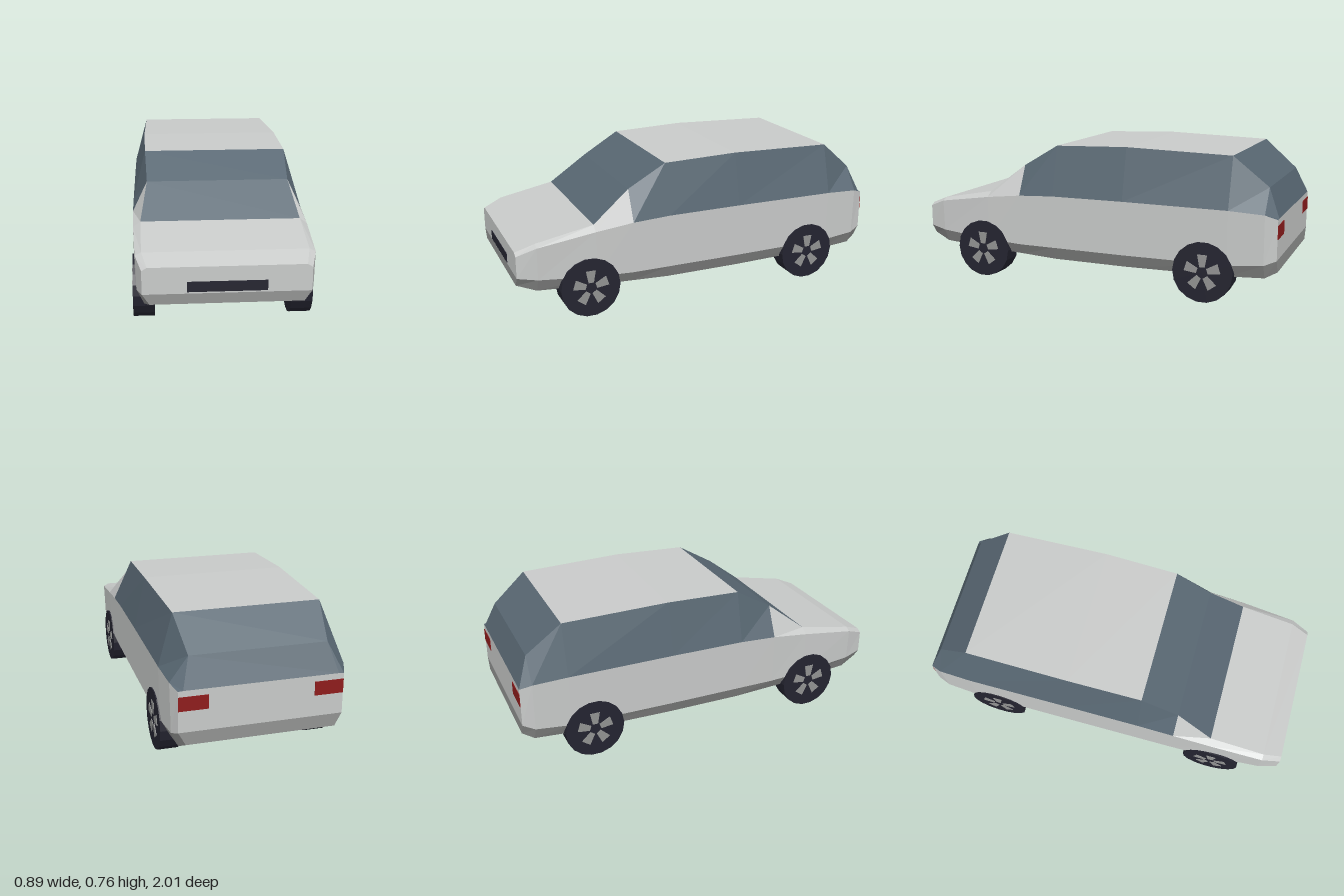
import * as THREE from 'three';

const mat = (name, color) => {
  const m = new THREE.MeshStandardMaterial({ color });
  m.name = name;
  return m;
};

// Half cross-sections, front to back:
// z, bottom x y, sill x y, belt x y, top x y
const SECTIONS = [
  [1.0, 0.36, 0.20, 0.395, 0.25, 0.395, 0.365, 0.37, 0.38],
  [0.9, 0.385, 0.165, 0.42, 0.235, 0.425, 0.405, 0.395, 0.42],
  [0.6, 0.40, 0.15, 0.435, 0.21, 0.437, 0.45, 0.40, 0.477],
  [0.4, 0.40, 0.14, 0.435, 0.20, 0.44, 0.473, 0.365, 0.63],
  [0.2, 0.40, 0.13, 0.435, 0.20, 0.44, 0.483, 0.373, 0.747],
  [-0.2, 0.40, 0.13, 0.435, 0.20, 0.44, 0.485, 0.378, 0.76],
  [-0.76, 0.40, 0.14, 0.435, 0.205, 0.44, 0.483, 0.368, 0.745],
  [-0.94, 0.39, 0.148, 0.425, 0.22, 0.43, 0.473, 0.34, 0.595],
  [-1.0, 0.37, 0.18, 0.405, 0.245, 0.405, 0.45, 0.38, 0.452],
];

// Full ring of eight corners, counter-clockwise seen from the front
function ring([z, ...p]) {
  const half = [0, 2, 4, 6].map((i) => [p[i], p[i + 1], z]);
  return [...half, ...half.map(([x, y]) => [-x, y, z]).reverse()];
}

function buildBody(materials) {
  const faces = { bodyPanels: [], windows: [], lowerTrim: [], underside: [] };
  const quad = (part, a, b, c, d) => faces[part].push(...a, ...b, ...c, ...a, ...c, ...d);
  const rings = SECTIONS.map(ring);
  const last = rings.length - 1;

  // Which part each strip of the loft belongs to
  const partOf = (i, j) => {
    if (j === 7) return 'underside';
    if (j === 0 || j === 6) return 'lowerTrim';
    if (j === 2 || j === 4) return i >= 3 ? 'windows' : 'bodyPanels';
    if (j === 3) return i === 2 || i === 3 || i >= 6 ? 'windows' : 'bodyPanels';
    return 'bodyPanels';
  };
  for (let i = 0; i < last; i++) {
    for (let j = 0; j < 8; j++) {
      const k = (j + 1) % 8;
      quad(partOf(i, j), rings[i][j], rings[i + 1][j], rings[i + 1][k], rings[i][k]);
    }
  }

  // Flat nose and tail
  const f = rings[0], r = rings[last];
  for (let j = 0; j < 3; j++) {
    const part = j === 0 ? 'lowerTrim' : 'bodyPanels';
    quad(part, f[j], f[j + 1], f[6 - j], f[7 - j]);
    quad(part, r[7 - j], r[6 - j], r[j + 1], r[j]);
  }

  const body = new THREE.Group();
  body.name = 'body';
  for (const [name, pos] of Object.entries(faces)) {
    const geo = new THREE.BufferGeometry();
    geo.setAttribute('position', new THREE.Float32BufferAttribute(pos, 3));
    geo.computeVertexNormals();
    const mesh = new THREE.Mesh(geo, materials[name]);
    mesh.name = name;
    body.add(mesh);
  }
  return body;
}

function buildWheel(tyreMat, spokeMat) {
  const wheel = new THREE.Group();
  const tyreGeo = new THREE.CylinderGeometry(0.157, 0.157, 0.106, 18).toNonIndexed();
  tyreGeo.computeVertexNormals();
  tyreGeo.rotateZ(Math.PI / 2);
  const tyre = new THREE.Mesh(tyreGeo, tyreMat);
  tyre.name = 'tyre';
  wheel.add(tyre);

  // Flared spokes on both faces
  const blade = new THREE.Shape([
    new THREE.Vector2(-0.014, 0.028), new THREE.Vector2(0.014, 0.028),
    new THREE.Vector2(0.026, 0.092), new THREE.Vector2(-0.026, 0.092),
  ]);
  const bladeGeo = new THREE.ExtrudeGeometry(blade, { depth: 0.003, bevelEnabled: false });
  for (const side of [1, -1]) {
    const face = new THREE.Group();
    face.name = 'wheelFace';
    for (let i = 0; i < 5; i++) {
      const spoke = new THREE.Mesh(bladeGeo, spokeMat);
      spoke.name = 'spoke';
      spoke.rotation.z = (i * 2 * Math.PI) / 5;
      face.add(spoke);
    }
    face.rotation.y = (side * Math.PI) / 2;
    face.position.x = side * 0.053;
    wheel.add(face);
  }
  return wheel;
}

export function createModel() {
  const paint = mat('silver paint', 0xc8cac9);
  const glass = mat('tinted glass', 0x586772);
  const trim = mat('grey trim', 0x929392);
  const dark = mat('dark rubber', 0x242430);
  const red = mat('red lamp', 0x8e1c1c);

  const car = new THREE.Group();
  car.name = 'car';
  car.add(buildBody({ bodyPanels: paint, windows: glass, lowerTrim: trim, underside: dark }));

  // Wheels
  for (const z of [0.635, -0.635]) {
    for (const side of [1, -1]) {
      const wheel = buildWheel(dark, trim);
      wheel.name = `${z > 0 ? 'front' : 'rear'}${side > 0 ? 'Left' : 'Right'}Wheel`;
      wheel.position.set(side * 0.389, 0.157, z);
      car.add(wheel);
    }
  }

  // Grille and tail lamps as thin plates
  const plate = (name, w, h, x, y, z, material) => {
    const m = new THREE.Mesh(new THREE.BoxGeometry(w, h, 0.006), material);
    m.name = name;
    m.position.set(x, y, z);
    car.add(m);
  };
  plate('grille', 0.375, 0.05, 0, 0.283, 1, dark);
  plate('leftTailLamp', 0.145, 0.07, 0.332, 0.387, -1, red);
  plate('rightTailLamp', 0.145, 0.07, -0.332, 0.387, -1, red);
  return car;
}
